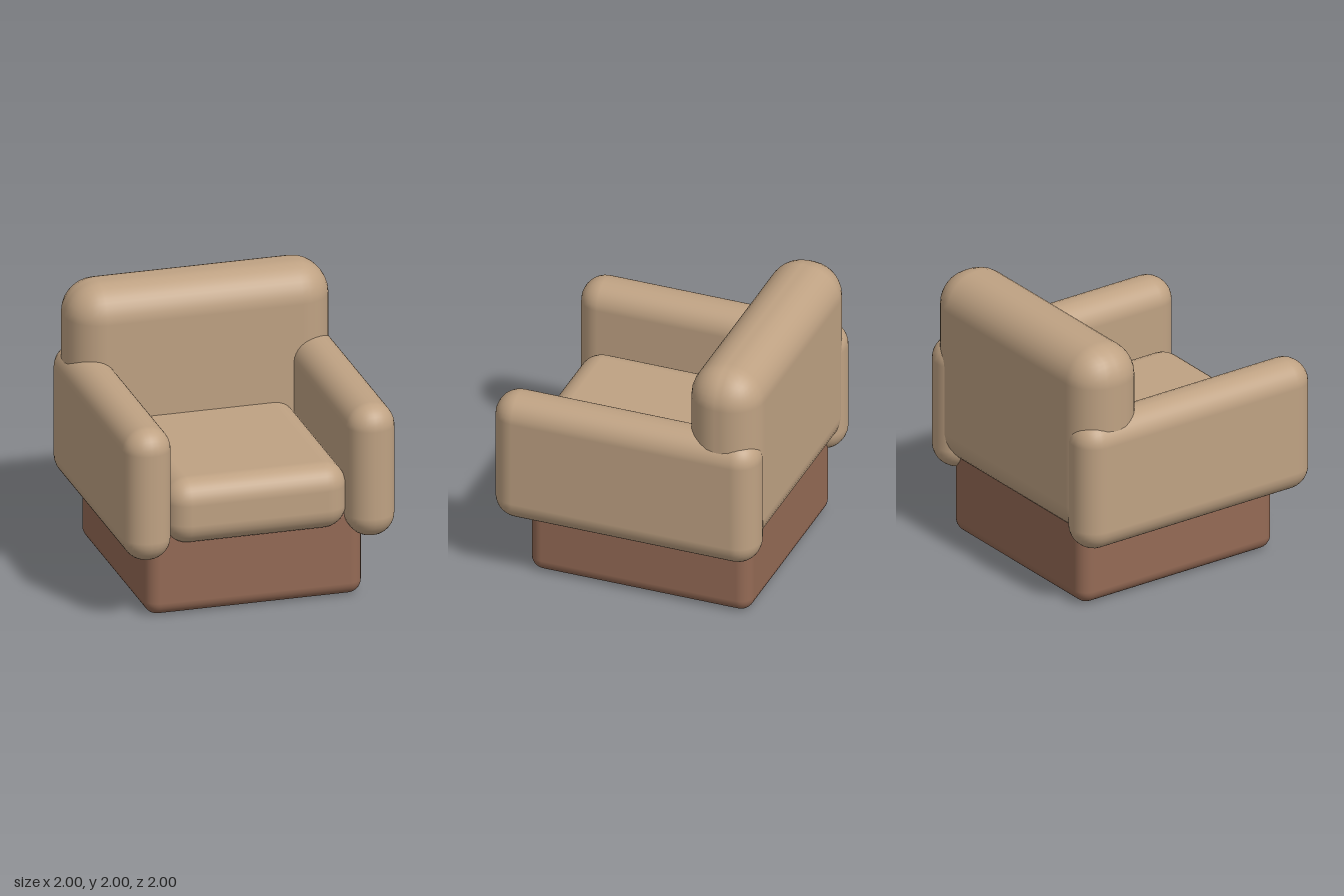
import * as THREE from 'three';
import { RoundedBoxGeometry } from 'three/addons/geometries/RoundedBoxGeometry.js';

const fabric = new THREE.MeshStandardMaterial({ color: 0xbfa283 });
fabric.name = 'tanFabric';
const wood = new THREE.MeshStandardMaterial({ color: 0x946a55 });
wood.name = 'brownBase';

// Rounded block given by its low and high corners
function block(name, material, low, high, radius) {
  const size = high.map((v, i) => v - low[i]);
  const mesh = new THREE.Mesh(new RoundedBoxGeometry(...size, 4, radius), material);
  mesh.position.set(...high.map((v, i) => (v + low[i]) / 2));
  mesh.name = name;
  return mesh;
}

export function createModel() {
  const chair = new THREE.Group();
  chair.name = 'armchair';

  // Plinth, seat cushion and backrest
  chair.add(block('base', wood, [-0.8, 0, -0.9], [0.8, 0.7, 0.78], 0.1));
  chair.add(block('seatCushion', fabric, [-0.67, 0.54, -0.7], [0.67, 1.03, 0.9], 0.17));
  chair.add(block('backrest', fabric, [-0.97, 0.54, -0.99], [0.97, 2, -0.45], 0.25));

  // Armrests, mirrored left and right
  for (const [name, side] of [['leftArmrest', 1], ['rightArmrest', -1]]) {
    const arm = block(name, fabric, [0.65, 0.48, -1], [1, 1.48, 1], 0.17);
    arm.position.x *= side;
    chair.add(arm);
  }

  return chair;
}
